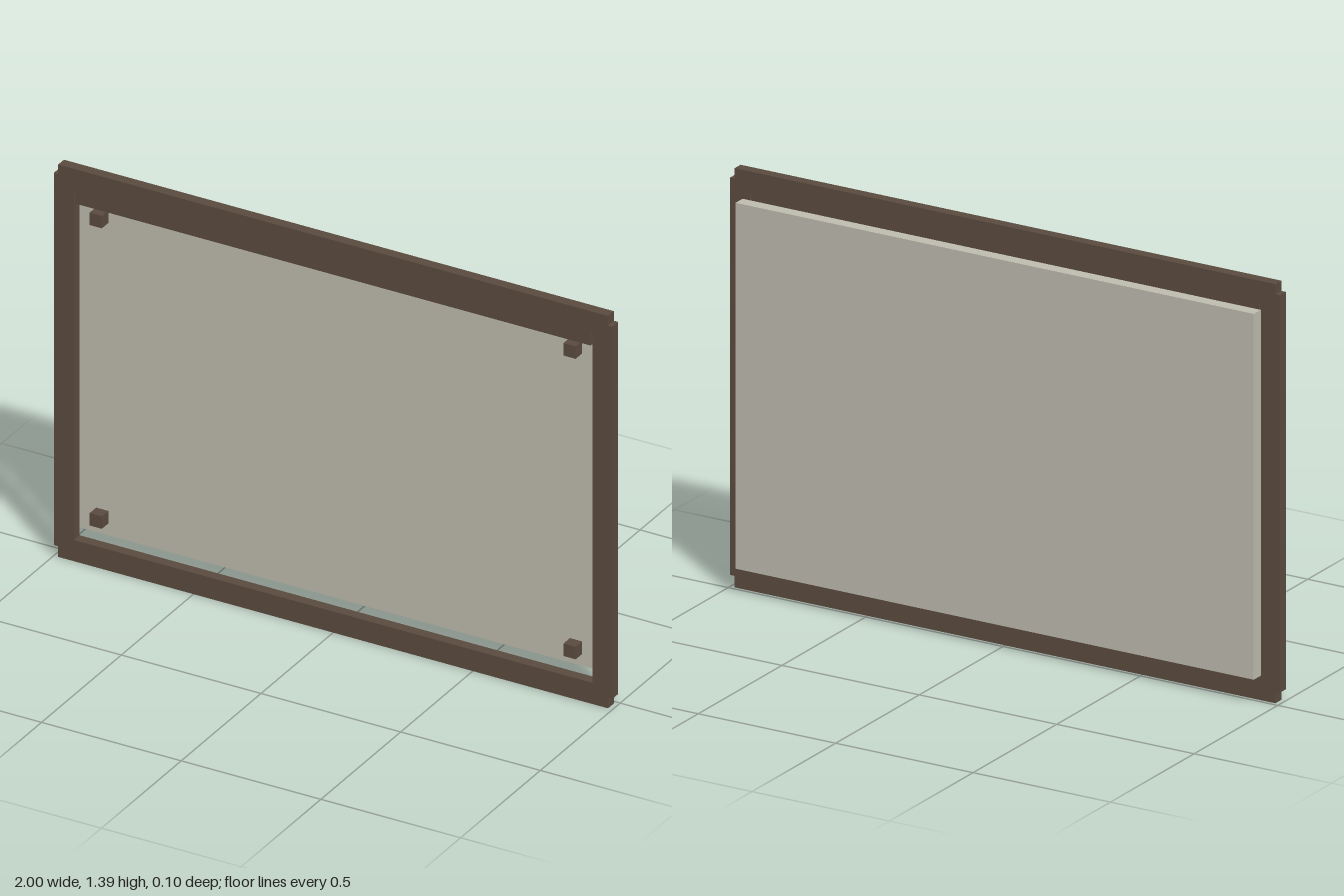
import * as THREE from 'three';

export function createModel() {
  const group = new THREE.Group();
  group.name = 'framedBoard';

  const brown = new THREE.MeshStandardMaterial({ color: 0x5a4a3f });
  brown.name = 'dark brown';
  const beige = new THREE.MeshStandardMaterial({ color: 0xbdbaad });
  beige.name = 'pale beige';

  // Box given by its minimum and maximum corners
  const addBox = (name, material, [x0, y0, z0], [x1, y1, z1]) => {
    const mesh = new THREE.Mesh(new THREE.BoxGeometry(x1 - x0, y1 - y0, z1 - z0), material);
    mesh.position.set((x0 + x1) / 2, (y0 + y1) / 2, (z0 + z1) / 2);
    mesh.name = name;
    group.add(mesh);
  };

  // Mirror the right half of a contour to close it
  const mirrored = (half) => [...half, ...half.slice().reverse().map(([x, y]) => [-x, y])]
    .map(([x, y]) => new THREE.Vector2(x, y));

  // Frame: stepped corners outside, narrow slits beside the top rail inside
  const outline = new THREE.Shape(mirrored([
    [0.984, 0], [0.984, 0.038], [1, 0.038], [1, 1.358], [0.984, 1.358], [0.984, 1.392],
  ]));
  outline.holes.push(new THREE.Path(mirrored([
    [0.928, 0.075], [0.928, 1.318], [0.922, 1.318], [0.922, 1.27],
  ])));
  const frameGeometry = new THREE.ExtrudeGeometry(outline, { depth: 0.036, bevelEnabled: false });
  frameGeometry.translate(0, 0, 0.012);
  const frame = new THREE.Mesh(frameGeometry, brown);
  frame.name = 'frame';
  group.add(frame);

  // Panel set behind the frame
  addBox('panel', beige, [-0.943, 0.09, -0.05], [0.943, 1.305, -0.008]);

  // Small blocks near the four corners
  for (const x of [-0.848, 0.848]) {
    for (const y of [0.166, 1.232]) {
      addBox('cornerBlock', brown, [x - 0.022, y - 0.022, 0.01], [x + 0.022, y + 0.022, 0.051]);
    }
  }

  return group;
}
